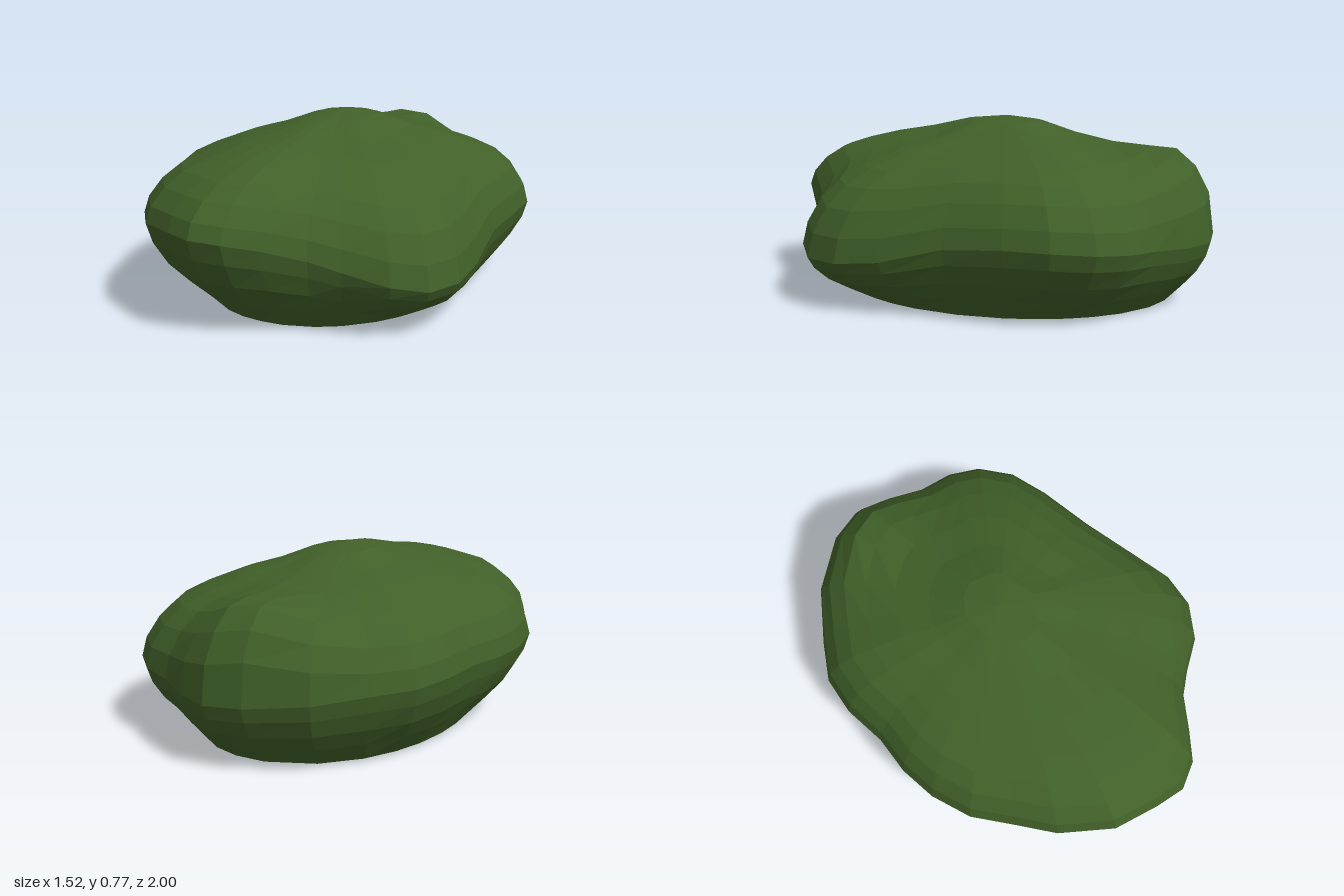
import * as THREE from 'three';

// Widest outline, counter-wise from +x through the front: x, z, height of the widest point
const OUTLINE = [
  [0.73, -0.07, 0.3], [0.755, 0.2, 0.23], [0.76, 0.4, 0.21], [0.70, 0.56, 0.21], [0.58, 0.66, 0.24],
  [0.40, 0.72, 0.29], [0.28, 0.77, 0.33], [0.14, 0.88, 0.38], [0.02, 0.97, 0.41], [-0.11, 1.0, 0.42],
  [-0.24, 0.95, 0.42], [-0.42, 0.86, 0.41], [-0.58, 0.67, 0.39], [-0.66, 0.49, 0.37], [-0.74, 0.32, 0.36],
  [-0.765, 0.13, 0.35], [-0.75, -0.04, 0.35], [-0.70, -0.21, 0.35], [-0.68, -0.41, 0.35], [-0.62, -0.58, 0.34],
  [-0.49, -0.72, 0.33], [-0.32, -0.88, 0.31], [-0.08, -0.98, 0.29], [0.09, -1.0, 0.28], [0.24, -0.94, 0.28],
  [0.40, -0.84, 0.29], [0.55, -0.78, 0.3], [0.66, -0.68, 0.31], [0.73, -0.52, 0.32], [0.74, -0.33, 0.32],
];
// Underside: share of the height, share of the way from base to outline
const LOWER = [[0, 0], [0.27, 0.38], [0.52, 0.7], [0.78, 0.91], [1, 1]];
// Upper side: share of the radius, share of the rise to the peak
const UPPER = [[0.975, 0.18], [0.91, 0.37], [0.82, 0.52], [0.7, 0.63], [0.54, 0.74], [0.36, 0.83], [0.18, 0.95]];
const PEAK = [0, 0.775, -0.06];
const BASE = { x: 0.015, z: -0.06, rx: 0.565, rz: 0.755, y: 0.012 };

function lowerPoint([x, z, h], [s, g]) {
  const dx = (x - BASE.x) / BASE.rx, dz = (z - BASE.z) / BASE.rz, d = Math.hypot(dx, dz);
  const bx = BASE.x + (BASE.rx * dx) / d, bz = BASE.z + (BASE.rz * dz) / d;
  const by = BASE.y - 0.012 * Math.max(0, dx / d);
  return [bx + (x - bx) * g, by + (h - by) * s, bz + (z - bz) * g];
}

function upperPoint([x, z, h], [f, rise]) {
  const px = PEAK[0] + (x - PEAK[0]) * f, pz = PEAK[2] + (z - PEAK[2]) * f;
  // raised lump towards the back
  const lump = 0.115 * Math.exp(-(((px + 0.03) / 0.28) ** 2) - ((pz + 0.86) / 0.2) ** 2);
  return [px, h + (PEAK[1] - h) * rise + lump, pz];
}

function moundGeometry() {
  const n = OUTLINE.length;
  const rings = [
    ...LOWER.map((p) => OUTLINE.map((o) => lowerPoint(o, p))),
    ...UPPER.map((p) => OUTLINE.map((o) => upperPoint(o, p))),
  ];
  const positions = [...rings.flat(2), BASE.x, 0.008, BASE.z, ...PEAK];
  const bottom = rings.length * n, top = bottom + 1, last = (rings.length - 1) * n;
  const index = [];
  for (let i = 0; i < n; i++) {
    const j = (i + 1) % n;
    for (let r = 0; r < rings.length - 1; r++) {
      const a = r * n + i, b = r * n + j;
      index.push(a, a + n, b, b, a + n, b + n);
    }
    index.push(bottom, i, j, top, last + j, last + i);
  }
  const geometry = new THREE.BufferGeometry();
  geometry.setAttribute('position', new THREE.Float32BufferAttribute(positions, 3));
  geometry.setIndex(index);
  geometry.computeVertexNormals();
  return geometry;
}

export function createModel() {
  const group = new THREE.Group();
  const foliage = new THREE.MeshStandardMaterial({ color: 0x416029, flatShading: true });
  const bush = new THREE.Mesh(moundGeometry(), foliage);
  bush.name = 'bushMound';
  group.add(bush);
  return group;
}
